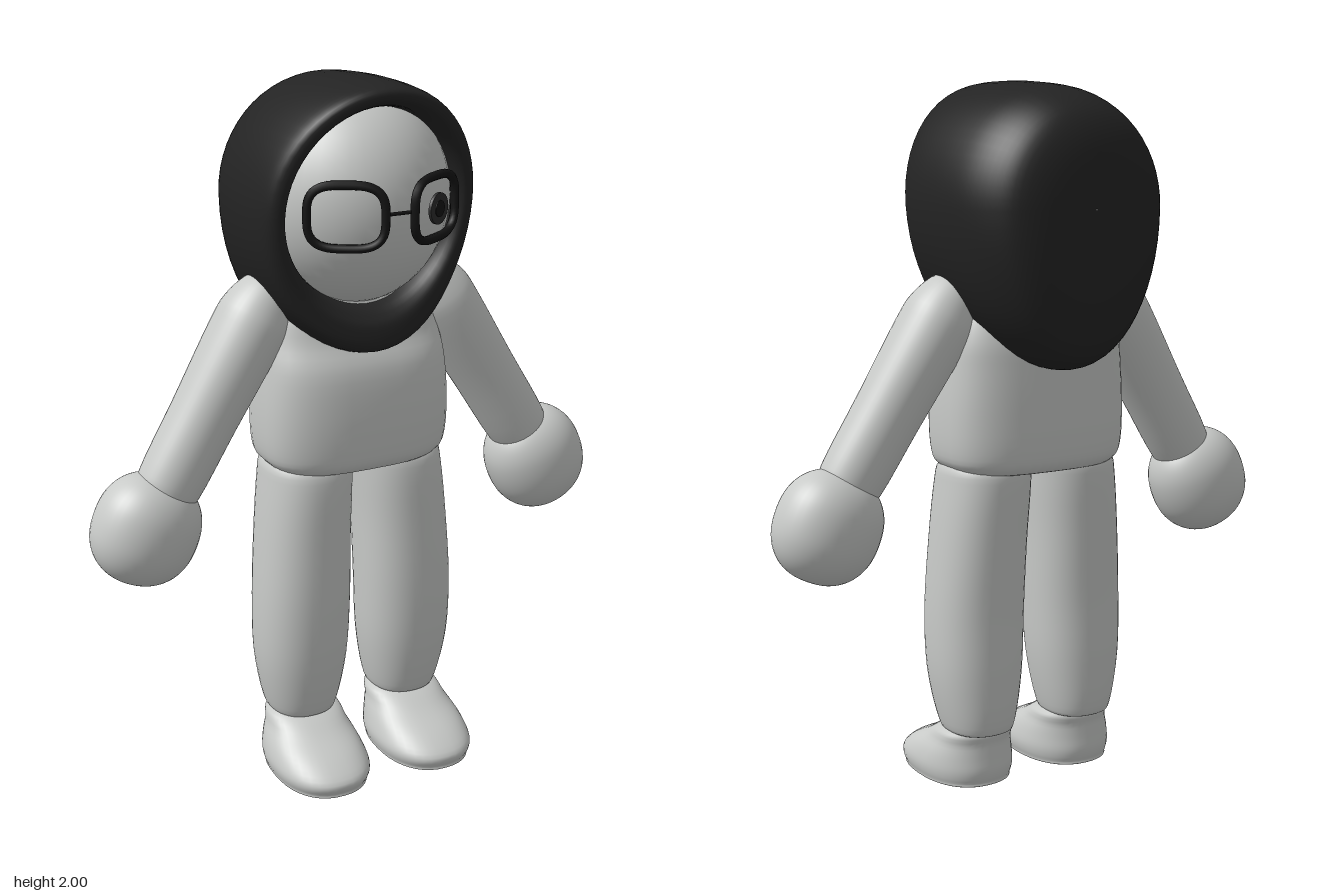
import * as THREE from 'three';

const mat = (name, color) => {
  const m = new THREE.MeshStandardMaterial({ color });
  m.name = name;
  return m;
};

// Catmull-Rom value between b and c
const blend = (a, b, c, d, t) => {
  const cubic = 3 * (b - c) + d - a;
  const square = 2 * a - 5 * b + 4 * c - d;
  return b + 0.5 * t * (c - a + t * (square + t * cubic));
};

// Smoothly subdivide a short table of cross-sections
function refine(rows, steps = 4) {
  const out = [];
  for (let i = 0; i < rows.length - 1; i++) {
    const a = rows[Math.max(i - 1, 0)], b = rows[i], c = rows[i + 1];
    const d = rows[Math.min(i + 2, rows.length - 1)];
    for (let k = 0; k < steps; k++) {
      out.push(b.map((v, j) => blend(a[j], v, c[j], d[j], k / steps)));
    }
  }
  out.push(rows[rows.length - 1]);
  return out;
}

// Skin closed rings; point(row, cos, sin) places one vertex
function loft(rows, point, n = 40) {
  const pos = [], index = [], rings = refine(rows);
  rings.forEach((row, i) => {
    for (let j = 0; j < n; j++) {
      const a = (j / n) * Math.PI * 2;
      pos.push(...point(row, Math.cos(a), Math.sin(a)));
      if (i === rings.length - 1) continue;
      const p = i * n + j, q = i * n + (j + 1) % n;
      index.push(p, p + n, q, q, p + n, q + n);
    }
  });
  const g = new THREE.BufferGeometry();
  g.setAttribute('position', new THREE.Float32BufferAttribute(pos, 3));
  g.setIndex(index);
  g.computeVertexNormals();
  return g;
}

const soft = (v, n) => Math.sign(v) * Math.pow(Math.abs(v), 2 / n);
// Row: y, centre x, centre z, half width, half depth
const upright = (n, side = 1) => ([y, cx, cz, rx, rz], c, s) =>
  [cx * side + rx * soft(c, n), y, cz + rz * soft(s, n)];

export function createModel() {
  const model = new THREE.Group();
  const grey = mat('light grey', 0xc8cac8);
  const cloth = mat('charcoal cloth', 0x232323);
  const black = mat('black', 0x141414);
  const iris = mat('dark grey', 0x2c2c2c);

  const add = (name, geometry, material, parent = model) => {
    const m = new THREE.Mesh(geometry, material);
    m.name = name;
    parent.add(m);
    return m;
  };

  // Torso
  add('torso', loft([
    [0.93, 0, 0.02, 0.002, 0.002], [0.922, 0, 0.02, 0.2, 0.13], [0.94, 0, 0.02, 0.258, 0.168],
    [0.99, 0, 0.02, 0.277, 0.18], [1.1, 0, 0.02, 0.28, 0.182], [1.22, 0, 0.015, 0.272, 0.175],
    [1.3, 0, 0, 0.26, 0.155], [1.38, 0, 0, 0.235, 0.135], [1.46, 0, 0, 0.18, 0.1],
    [1.49, 0, 0, 0.002, 0.002],
  ], upright(2.9)), grey);

  // Head
  const head = add('head', new THREE.SphereGeometry(1, 40, 28), grey);
  head.scale.set(0.27, 0.3, 0.27);
  head.position.set(0, 1.68, 0.03);

  // Hood, from the inner lip over the rim to the back; row: z, half width, top, bottom, rim sweep
  add('hood', loft([
    [0.02, 0.235, 1.925, 1.41, 1], [0.13, 0.248, 1.938, 1.392, 1], [0.165, 0.262, 1.952, 1.365, 1],
    [0.172, 0.28, 1.967, 1.335, 1], [0.155, 0.303, 1.988, 1.285, 1], [0.115, 0.315, 1.998, 1.265, 0.8],
    [0.04, 0.32, 2.0, 1.25, 0.25], [-0.07, 0.316, 1.992, 1.23, 0], [-0.17, 0.3, 1.978, 1.218, 0],
    [-0.25, 0.265, 1.945, 1.235, 0], [-0.3, 0.215, 1.895, 1.285, 0],
    [-0.327, 0.13, 1.81, 1.42, 0], [-0.335, 0.002, 1.662, 1.658, 0],
  ], ([z, rx, top, bottom, sweep], c, s) => {
    const y = 1.66 + s * (s > 0 ? top - 1.66 : 1.66 - bottom);
    const bend = y > 1.5 ? 0.4 : 1;
    return [rx * c, y, z + sweep * bend * Math.pow(y - 1.5, 2)];
  }, 56), cloth);

  // Glasses, each rim swept back toward the temple
  const glasses = new THREE.Group();
  glasses.name = 'glasses';
  model.add(glasses);
  const frameZ = (x) => 0.325 - 0.58 * (Math.abs(x) - 0.03);
  for (const side of [-1, 1]) {
    const pts = [];
    for (let i = 0; i < 32; i++) {
      const a = (i / 32) * Math.PI * 2;
      const x = side * (0.13 + 0.088 * soft(Math.cos(a), 3.2));
      pts.push(new THREE.Vector3(x, 1.675 + 0.083 * soft(Math.sin(a), 3.2), frameZ(x)));
    }
    const path = new THREE.CatmullRomCurve3(pts, true);
    add(side > 0 ? 'leftRim' : 'rightRim', new THREE.TubeGeometry(path, 64, 0.012, 8, true), black, glasses);
  }
  const bridge = add('bridge', new THREE.CylinderGeometry(0.005, 0.005, 0.09, 8), black, glasses);
  bridge.rotation.z = Math.PI / 2;
  bridge.position.set(0, 1.682, 0.316);

  // Single visible eye
  const eye = new THREE.Group();
  eye.name = 'eye';
  eye.position.set(0.13, 1.675, 0.284);
  eye.rotation.y = 0.5;
  model.add(eye);
  const disc = (name, r, depth, z, m) => {
    const d = add(name, new THREE.CylinderGeometry(r, r, depth, 28), m, eye);
    d.rotation.x = Math.PI / 2;
    d.position.z = z;
  };
  disc('iris', 0.042, 0.008, 0, iris);
  disc('pupil', 0.022, 0.004, 0.004, black);

  for (const side of [-1, 1]) {
    const label = side > 0 ? 'left' : 'right';

    // Arm, built from wrist to shoulder along its own axis
    const wrist = new THREE.Vector3(side * 0.56, 0.915, 0.033);
    const shoulder = new THREE.Vector3(side * 0.255, 1.405, 0.01);
    const axis = shoulder.clone().sub(wrist);
    const len = axis.length();
    const arm = add(label + 'Arm', loft([
      [-0.02, 0, 0, 0.002, 0.002], [-0.012, 0, 0, 0.07, 0.07], [0.02, 0, 0, 0.09, 0.088],
      [len * 0.4, 0, 0, 0.094, 0.096], [len * 0.8, 0, 0, 0.1, 0.108], [len * 0.95, 0, 0, 0.095, 0.1],
      [len + 0.05, 0, 0, 0.06, 0.065], [len + 0.07, 0, 0, 0.002, 0.002],
    ], upright(2.1)), grey);
    arm.position.copy(wrist);
    arm.quaternion.setFromUnitVectors(new THREE.Vector3(0, 1, 0), axis.normalize());

    // Hand, a slightly squared ball
    const ball = [];
    for (let i = 0; i <= 12; i++) {
      const a = (i / 12 - 0.5) * Math.PI, r = Math.max(soft(Math.cos(a), 2.25), 0.01);
      ball.push([soft(Math.sin(a), 2.25) * 0.157, 0, 0, r * 0.15, r * 0.132]);
    }
    const hand = add(label + 'Hand', loft(ball, upright(2.1)), grey);
    hand.position.set(side * 0.622, 0.81, 0.03);
    hand.rotation.z = side * 0.4;

    // Leg
    add(label + 'Leg', loft([
      [0.155, 0.165, 0.025, 0.002, 0.002], [0.158, 0.165, 0.025, 0.08, 0.09],
      [0.19, 0.166, 0.027, 0.104, 0.118], [0.34, 0.167, 0.036, 0.131, 0.137],
      [0.52, 0.164, 0.04, 0.137, 0.141], [0.72, 0.155, 0.033, 0.133, 0.143],
      [0.88, 0.143, 0.026, 0.129, 0.143], [0.94, 0.138, 0.022, 0.122, 0.13],
      [0.97, 0.136, 0.02, 0.08, 0.08], [0.975, 0.136, 0.02, 0.002, 0.002],
    ], upright(2.3, side)), grey);

    // Foot
    add(label + 'Foot', loft([
      [0.001, 0.168, 0.14, 0.002, 0.002], [0.001, 0.168, 0.14, 0.118, 0.172],
      [0.012, 0.168, 0.14, 0.133, 0.188], [0.045, 0.168, 0.14, 0.14, 0.196],
      [0.085, 0.168, 0.115, 0.132, 0.168], [0.125, 0.166, 0.075, 0.116, 0.125],
      [0.165, 0.164, 0.035, 0.097, 0.085], [0.185, 0.164, 0.03, 0.002, 0.002],
    ], upright(2.3, side)), grey);
  }

  return model;
}
